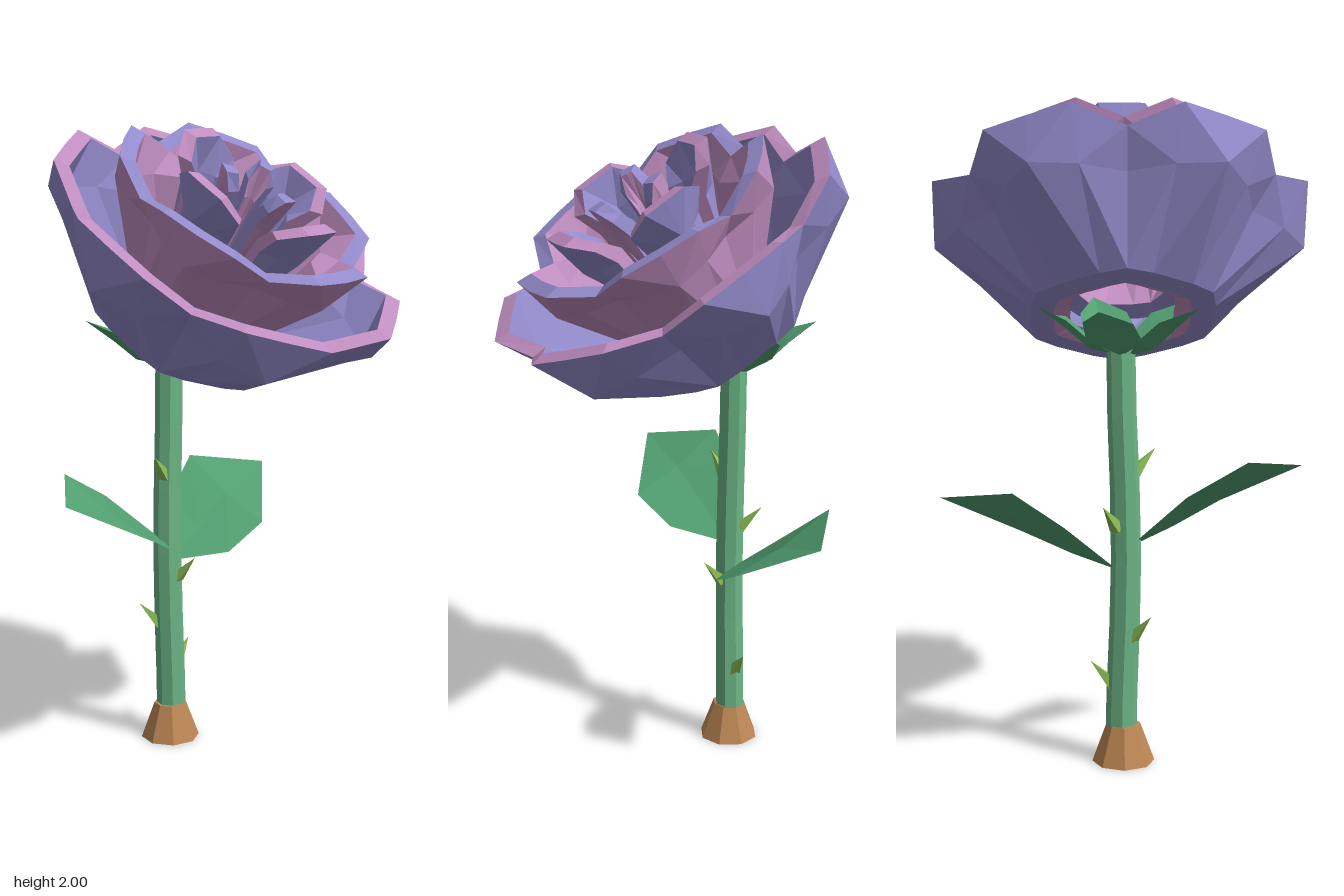
import * as THREE from 'three';

const mat = (name, color, side = THREE.FrontSide) => {
  const m = new THREE.MeshStandardMaterial({ color, flatShading: true, side });
  m.name = name;
  return m;
};

function geometryFrom(positions) {
  const g = new THREE.BufferGeometry();
  g.setAttribute('position', new THREE.Float32BufferAttribute(positions, 3));
  g.computeVertexNormals();
  return g;
}

// Thick petal around +y: profile is [height, radius] from base through belly to rim.
function petalGeometry(profile, half, thick) {
  const cols = [-1, -0.47, 0, 0.47, 1];
  const base = [1.06, 1, 0.97, 1, 1.06], belly = [0.78, 0.89, 1, 0.89, 0.78], rim = [0.89, 1, 0.975, 1, 0.89];
  const last = profile.length - 1;
  const radial = (j) => (j === last ? rim : j === last - 1 ? belly : base);
  const surface = (inset) => profile.map(([h, r], j) => cols.map((c, i) => {
    const rr = Math.max(r * radial(j)[i] - inset, 0.01);
    const notch = j === last && Math.abs(c) === 1 ? 0.05 : 0;
    const y = h - notch + (j < last ? inset * 0.5 : 0);
    return [Math.sin(c * half) * rr, y, Math.cos(c * half) * rr];
  }));
  const out = surface(0), inn = surface(thick);
  const pos = [];
  const quad = (a, b, c, d, flip) => {
    if (flip) pos.push(...a, ...b, ...d, ...b, ...c, ...d);
    else pos.push(...a, ...b, ...c, ...a, ...c, ...d);
  };
  // outer and inner faces
  for (let j = 0; j < last; j++) for (let i = 0; i < 4; i++) {
    const flip = (i < 2) === (j === last - 1);
    quad(out[j][i], out[j][i + 1], out[j + 1][i + 1], out[j + 1][i], flip);
    quad(inn[j][i + 1], inn[j][i], inn[j + 1][i], inn[j + 1][i + 1], !flip);
  }
  const bodyCount = pos.length / 3;
  // rim, base and side edges
  for (let i = 0; i < 4; i++) {
    quad(out[last][i], out[last][i + 1], inn[last][i + 1], inn[last][i]);
    quad(inn[0][i], inn[0][i + 1], out[0][i + 1], out[0][i]);
  }
  for (let j = 0; j < last; j++) {
    quad(inn[j][0], out[j][0], out[j + 1][0], inn[j + 1][0]);
    quad(out[j][4], inn[j][4], inn[j + 1][4], out[j + 1][4]);
  }
  const g = geometryFrom(pos);
  g.addGroup(0, bodyCount, 0);
  g.addGroup(bodyCount, pos.length / 3 - bodyCount, 1);
  return g;
}

// Folded blade: base point, sections as [one edge, other edge], tip.
function bladeGeometry(base, sections, tip, fold) {
  const rows = [[base, base, base],
    ...sections.map(([a, b]) => [a, [(a[0] + b[0]) / 2, (a[1] + b[1]) / 2 - fold, (a[2] + b[2]) / 2], b]),
    [tip, tip, tip]];
  const pos = [];
  for (let j = 0; j < rows.length - 1; j++) for (let i = 0; i < 2; i++) {
    const a = rows[j][i], b = rows[j][i + 1], c = rows[j + 1][i + 1], d = rows[j + 1][i];
    if (a !== b) pos.push(...a, ...b, ...c);
    if (c !== d) pos.push(...a, ...c, ...d);
  }
  return geometryFrom(pos);
}

export function createModel() {
  const root = new THREE.Group();
  root.name = 'rose';
  const purple = mat('petalPurple', 0x928aca);
  const pink = mat('petalPink', 0xbf8dbf);
  const stemGreen = mat('stemGreen', 0x6cb686);
  const leafGreen = mat('leafGreen', 0x529f71, THREE.DoubleSide);
  const thornGreen = mat('thornGreen', 0x8fbe55);
  const brown = mat('baseBrown', 0xbd8755);
  const add = (parent, name, geo, material) => {
    const m = new THREE.Mesh(geo, material);
    m.name = name;
    parent.add(m);
    return m;
  };

  // Blossom: nested rings of petals, tipped toward the front
  const blossom = new THREE.Group();
  blossom.name = 'blossom';
  blossom.position.set(0, 1.68, 0.015);
  blossom.rotation.x = THREE.MathUtils.degToRad(32.5);
  root.add(blossom);
  const rings = [
    { name: 'outerPetal', n: 6, phase: 30, half: 30, thick: 0.05, profile: [[-0.385, 0.21], [-0.38, 0.28], [-0.15, 0.56], [0, 0.58]], mats: [purple, pink] },
    { name: 'secondPetal', n: 5, phase: 0, half: 36, thick: 0.05, profile: [[-0.29, 0.2], [0, 0.39], [0.12, 0.425]], mats: [pink, purple] },
    { name: 'thirdPetal', n: 4, phase: 0, half: 31, thick: 0.045, profile: [[-0.14, 0.15], [0.06, 0.25], [0.19, 0.28]], mats: [purple, pink] },
    { name: 'heartPetal', n: 3, phase: 0, half: 25, thick: 0.045, profile: [[-0.08, 0.07], [0.08, 0.11], [0.2, 0.13]], mats: [pink, purple] },
  ];
  for (const r of rings) {
    const geo = petalGeometry(r.profile, THREE.MathUtils.degToRad(r.half), r.thick);
    for (let k = 0; k < r.n; k++) {
      const p = add(blossom, r.name, geo, r.mats);
      p.rotation.y = THREE.MathUtils.degToRad(r.phase + k * 360 / r.n);
    }
  }

  // Stem with a gentle bend
  const stemZ = -0.24;
  const stemGeo = new THREE.CylinderGeometry(0.043, 0.048, 1.28, 8, 6);
  stemGeo.translate(0, 0.64, 0);
  const sp = stemGeo.attributes.position;
  for (let i = 0; i < sp.count; i++) {
    sp.setX(i, sp.getX(i) + 0.008 * Math.sin(sp.getY(i) * 5 + 1.5));
  }
  stemGeo.computeVertexNormals();
  add(root, 'stem', stemGeo, stemGreen).position.z = stemZ;

  // Flared cut end
  const foot = add(root, 'stemBase', new THREE.CylinderGeometry(0.052, 0.095, 0.118, 8), brown);
  foot.position.set(0, 0.059, stemZ);

  // Sepals under the blossom
  const sepalGeo = bladeGeometry([0, 1.25, 0.02],
    [[[-0.085, 1.3, 0.1], [0.085, 1.3, 0.1]], [[-0.075, 1.36, 0.17], [0.075, 1.36, 0.17]]],
    [0, 1.4, 0.262], 0.03);
  for (let k = 0; k < 5; k++) {
    const s = add(root, 'sepal', sepalGeo, leafGreen);
    s.position.z = stemZ;
    s.rotation.y = 2.82 + k * Math.PI * 2 / 5;
  }

  // Leaves
  add(root, 'leftLeaf', bladeGeometry([0.02, 0.6, -0.24],
    [[[0.15, 0.62, -0.11], [0.18, 0.76, -0.38]], [[0.31, 0.69, -0.09], [0.33, 0.87, -0.41]]],
    [0.545, 0.83, -0.26], 0.015), leafGreen);
  add(root, 'rightLeaf', bladeGeometry([-0.02, 0.67, -0.24],
    [[[-0.18, 0.84, -0.35], [-0.16, 0.7, -0.1]], [[-0.36, 0.945, -0.36], [-0.31, 0.77, -0.05]]],
    [-0.545, 0.905, -0.19], 0.015), leafGreen);

  // Thorns: [height, angle from the front toward the model's left]
  const thornGeo = new THREE.ConeGeometry(0.024, 0.1, 4);
  thornGeo.rotateY(Math.PI / 4);
  for (const [y, deg] of [[0.28, 90], [0.43, 233], [0.59, 5], [0.77, 140], [0.93, 285]]) {
    const pivot = new THREE.Group();
    pivot.name = 'thorn';
    pivot.position.set(0, y, stemZ);
    pivot.rotation.y = THREE.MathUtils.degToRad(deg);
    const t = add(pivot, 'thornSpike', thornGeo, thornGreen);
    t.position.z = 0.066;
    t.rotation.x = 0.75;
    root.add(pivot);
  }
  return root;
}
